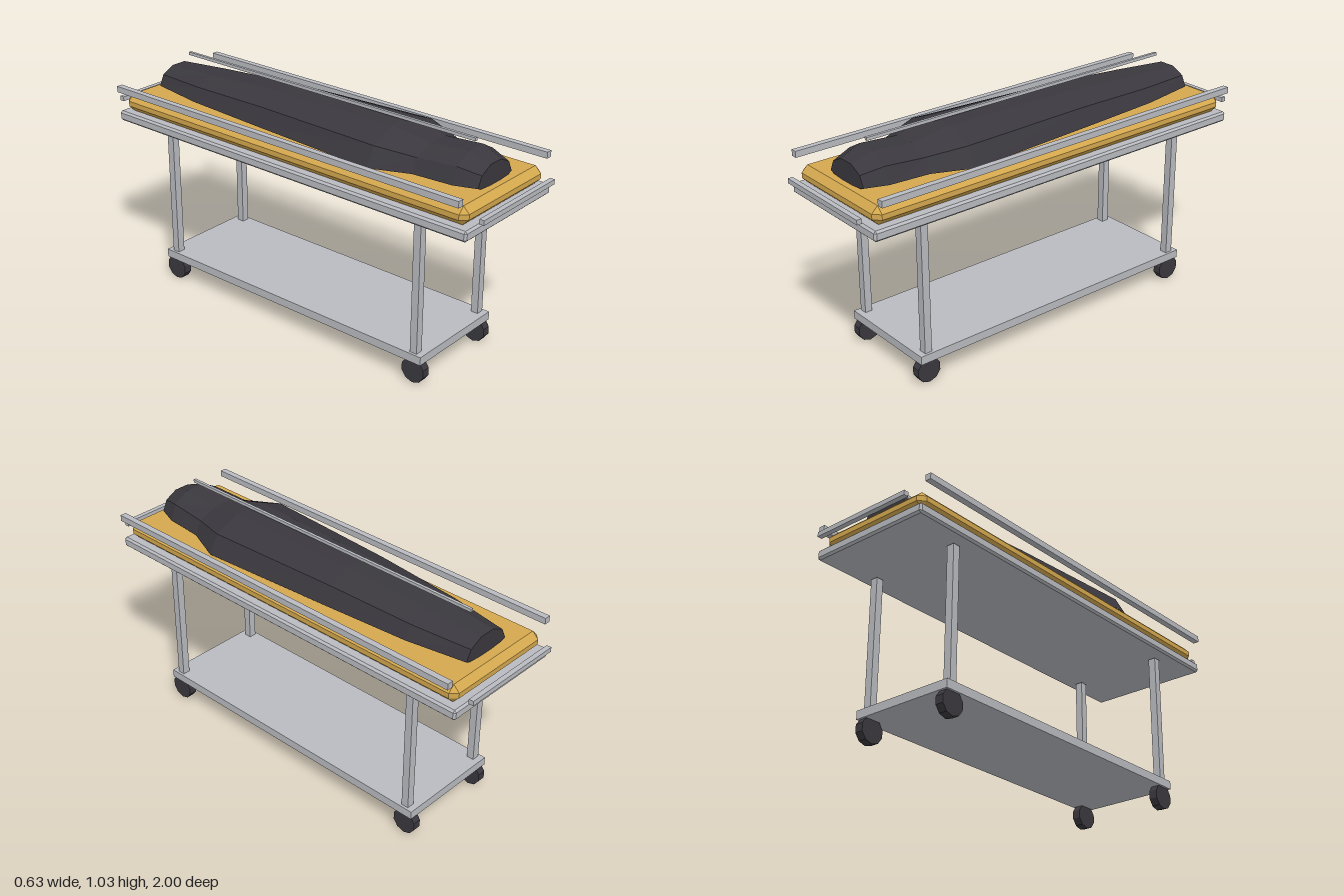
import * as THREE from 'three';
import { ConvexGeometry } from 'three/addons/geometries/ConvexGeometry.js';

// Box with every edge cut at 45 degrees
function chamferBox(w, h, d, c) {
  const pts = [];
  for (const sx of [-1, 1]) for (const sy of [-1, 1]) for (const sz of [-1, 1]) {
    const x = w / 2, y = h / 2, z = d / 2;
    pts.push(
      new THREE.Vector3(sx * x, sy * (y - c), sz * (z - c)),
      new THREE.Vector3(sx * (x - c), sy * y, sz * (z - c)),
      new THREE.Vector3(sx * (x - c), sy * (y - c), sz * z));
  }
  return new ConvexGeometry(pts);
}

// Faceted loft of ten-sided rings, domed above and nearly flat below
function loftBag(sections, baseY) {
  const n = 10, pos = [];
  const rings = sections.map(([z, halfWidth, rise]) =>
    Array.from({ length: n }, (_, i) => {
      const a = i / n * Math.PI * 2, s = Math.sin(a);
      return [Math.cos(a) * halfWidth, baseY + s * (s > 0 ? rise : 0.0135), z];
    }));
  const tri = (a, b, c) => pos.push(...a, ...b, ...c);
  for (let r = 0; r < rings.length - 1; r++) {
    for (let i = 0; i < n; i++) {
      const j = (i + 1) % n, A = rings[r], B = rings[r + 1];
      tri(A[i], B[i], B[j]);
      tri(A[i], B[j], A[j]);
    }
  }
  // End caps
  const front = rings[0], back = rings[rings.length - 1];
  for (let i = 1; i < n - 1; i++) {
    tri(front[0], front[i], front[i + 1]);
    tri(back[0], back[i + 1], back[i]);
  }
  const g = new THREE.BufferGeometry();
  g.setAttribute('position', new THREE.Float32BufferAttribute(pos, 3));
  g.computeVertexNormals();
  return g;
}

export function createModel() {
  const group = new THREE.Group();
  const material = (name, color) => {
    const m = new THREE.MeshStandardMaterial({ color });
    m.name = name;
    m.flatShading = true;
    return m;
  };
  const metal = material('greyMetal', 0xb9bbc0);
  const gold = material('goldPadding', 0xd4a84e);
  const dark = material('darkFabric', 0x3a383e);

  const add = (name, geometry, mat, x = 0, y = 0, z = 0) => {
    const mesh = new THREE.Mesh(geometry, mat);
    mesh.name = name;
    mesh.position.set(x, y, z);
    group.add(mesh);
    return mesh;
  };

  // Deck, padding and lower shelf
  add('tray', chamferBox(0.586, 0.046, 1.91, 0.009), metal, 0, 0.764, 0);
  add('mattress', chamferBox(0.55, 0.079, 1.87, 0.028), gold, 0, 0.827, 0);
  add('lowerShelf', new THREE.BoxGeometry(0.49, 0.038, 1.47), metal, 0, 0.117, 0);

  // Legs and wheels at the four corners
  const legGeo = new THREE.BoxGeometry(0.035, 0.6, 0.034);
  const wheelGeo = new THREE.CylinderGeometry(0.057, 0.057, 0.038, 10).rotateZ(Math.PI / 2);
  for (const sx of [-1, 1]) for (const sz of [-1, 1]) {
    add('leg', legGeo, metal, sx * 0.216, 0.434, sz * 0.69);
    add('wheel', wheelGeo, dark, sx * 0.216, 0.0542, sz * 0.69).rotation.x = Math.PI / 2;
  }

  // Side and end rails
  for (const s of [-1, 1]) {
    add('sideRail', new THREE.BoxGeometry(0.028, 0.028, 1.865), metal, s * 0.303, 0.902, 0);
    add('endRail', new THREE.BoxGeometry(0.49, 0.021, 0.022), metal, 0, 0.823, s * 0.989);
  }

  // Covered bag: z, half width, rise
  add('bag', loftBag([
    [0.88, 0.115, 0.08],
    [0.785, 0.15, 0.116],
    [0.605, 0.165, 0.1],
    [0.435, 0.236, 0.138],
    [-0.2, 0.195, 0.126],
    [-0.6, 0.165, 0.1],
    [-0.865, 0.12, 0.081],
  ], 0.88), dark);
  add('zipper', new THREE.BoxGeometry(0.013, 0.014, 1.57), metal, 0, 1.023, 0);

  return group;
}
